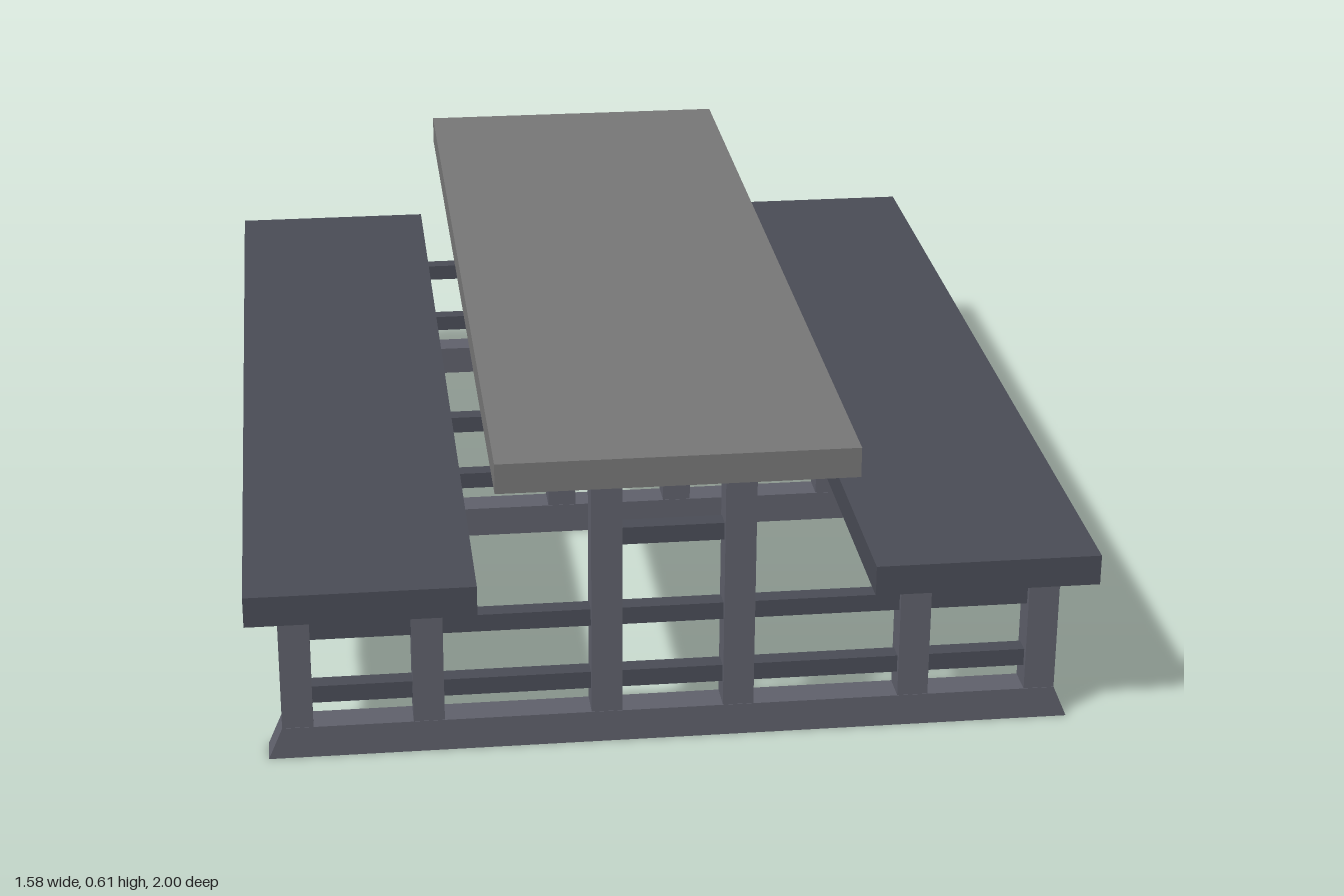
import * as THREE from 'three';

const paint = (color) => new THREE.MeshStandardMaterial({ color, flatShading: true });

export function createModel() {
  const model = new THREE.Group();
  model.name = 'picnicTable';
  const topMat = paint(0x777777);
  const benchMat = paint(0x4a4c56);
  const frameMat = paint(0x5f606b);

  // Box placed by its centre x, its bottom and its top
  const box = (parent, name, mat, x, y0, y1, w, d) => {
    const mesh = new THREE.Mesh(new THREE.BoxGeometry(w, y1 - y0, d), mat);
    mesh.position.set(x, (y0 + y1) / 2, 0);
    mesh.name = name;
    parent.add(mesh);
  };

  // Tabletop and the two bench seats
  box(model, 'tabletop', topMat, 0, 0.55, 0.608, 0.664, 2);
  for (const s of [-1, 1]) {
    box(model, s > 0 ? 'leftBench' : 'rightBench', benchMat, s * 0.578, 0.308, 0.367, 0.422, 2);
  }

  // Ground beam with splayed ends
  const outline = new THREE.Shape([
    [-0.757, 0], [0.757, 0], [0.73, 0.063], [-0.73, 0.063],
  ].map(([x, y]) => new THREE.Vector2(x, y)));
  const beamGeo = new THREE.ExtrudeGeometry(outline, { depth: 0.06, bevelEnabled: false });
  beamGeo.translate(0, 0, -0.03);

  // Three identical support frames
  for (const [name, z] of [['frontFrame', 0.91], ['middleFrame', 0], ['backFrame', -0.91]]) {
    const frame = new THREE.Group();
    frame.name = name;
    frame.position.z = z;
    model.add(frame);

    const beam = new THREE.Mesh(beamGeo, frameMat);
    beam.name = 'groundBeam';
    frame.add(beam);

    for (const s of [-1, 1]) {
      // Tall posts with small caps under the tabletop
      box(frame, 'tablePost', frameMat, s * 0.124, 0.063, 0.545, 0.058, 0.058);
      box(frame, 'postCap', frameMat, s * 0.124, 0.543, 0.55, 0.072, 0.072);
      // Short posts under the bench
      for (const x of [0.457, 0.701]) {
        box(frame, 'benchPost', frameMat, s * x, 0.063, 0.308, 0.058, 0.058);
      }
      // Rails between neighbouring posts on each side
      for (const y of [0.107, 0.238]) {
        box(frame, 'innerRail', benchMat, s * 0.29, y, y + 0.034, 0.276, 0.034);
        box(frame, 'outerRail', benchMat, s * 0.579, y, y + 0.034, 0.188, 0.034);
      }
    }

    // Rails between the tall posts
    for (const y of [0.107, 0.238, 0.402]) {
      box(frame, 'centreRail', benchMat, 0, y, y + 0.034, 0.19, 0.034);
    }
  }
  return model;
}
